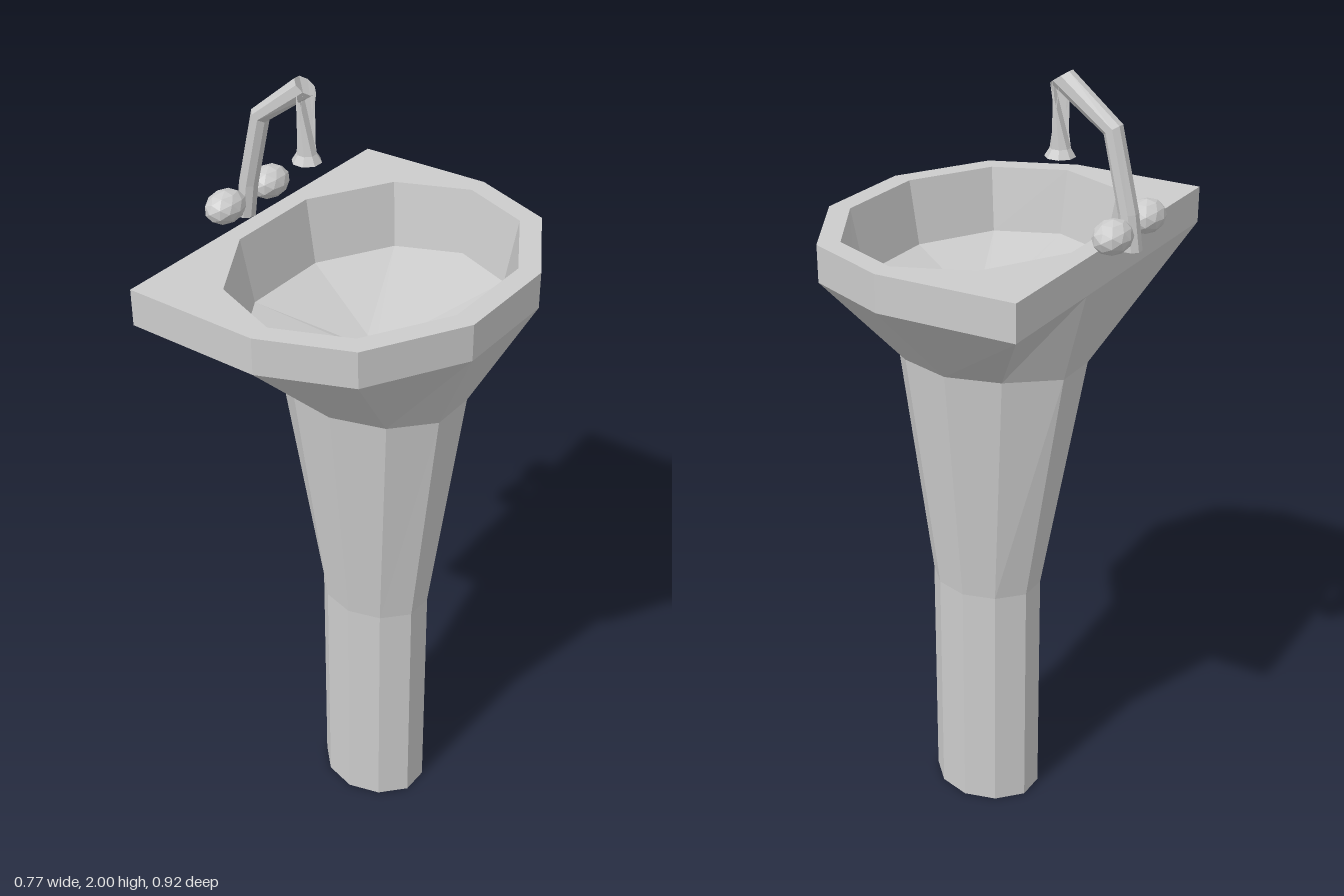
import * as THREE from 'three';

const material = new THREE.MeshStandardMaterial({ color: 0xcccccc, flatShading: true });

// Flat-shaded skin over a stack of equal-length rings, capped at both ends
function loft(name, rings) {
  const pos = [];
  const tri = (...pts) => pts.forEach((p) => pos.push(...p));
  const centre = (ring) => [0, 1, 2].map((k) => ring.reduce((s, p) => s + p[k], 0) / ring.length);
  const n = rings[0].length;
  const first = rings[0], last = rings[rings.length - 1];
  for (let j = 0; j < n; j++) {
    const k = (j + 1) % n;
    for (let i = 0; i < rings.length - 1; i++) {
      const a = rings[i], b = rings[i + 1];
      tri(a[j], b[j], a[k]);
      tri(a[k], b[j], b[k]);
    }
    tri(centre(first), first[j], first[k]);
    tri(last[j], centre(last), last[k]);
  }
  const geometry = new THREE.BufferGeometry();
  geometry.setAttribute('position', new THREE.Float32BufferAttribute(pos, 3));
  geometry.computeVertexNormals();
  const mesh = new THREE.Mesh(geometry, material);
  mesh.name = name;
  return mesh;
}

// Ten-sided horizontal ring from five [x, z] points, mirrored in z
function ring(y, half) {
  const front = half.map(([x, z]) => [x, y, z]);
  const back = half.map(([x, z]) => [x, y, -z]).reverse();
  return [...front, ...back];
}

// Eight-sided tube section; tilt turns it in the xy plane
function section(x, y, r, tilt = 0, stretch = 1) {
  const pts = [];
  for (let i = 0; i < 8; i++) {
    const t = ((i + 0.5) / 8) * Math.PI * 2;
    const v = Math.cos(t) * r * stretch;
    pts.push([x + v * Math.cos(tilt), y + v * Math.sin(tilt), -0.006 + Math.sin(t) * r]);
  }
  return pts;
}

export function createModel() {
  const group = new THREE.Group();
  group.name = 'pedestalSink';

  // Pedestal, basin, rim and bowl as one continuous skin
  const stem = [[0.175, 0.037], [0.118, 0.097], [0.035, 0.12], [-0.048, 0.097], [-0.105, 0.037]];
  const neck = [[0.255, 0.06], [0.17, 0.152], [0.035, 0.19], [-0.1, 0.152], [-0.215, 0.06]];
  const rim = [[0.385, 0.14], [0.25, 0.373], [0.035, 0.458], [-0.31, 0.45], [-0.31, 0.14]];
  const lip = [[0.333, 0.127], [0.215, 0.33], [0.035, 0.403], [-0.145, 0.33], [-0.263, 0.127]];
  const floor = [[0.303, 0.119], [0.195, 0.306], [0.035, 0.372], [-0.125, 0.306], [-0.233, 0.119]];
  const drain = [[0.075, 0.021], [0.055, 0.033], [0.035, 0.043], [0.015, 0.033], [-0.005, 0.021]];
  group.add(loft('basinAndPedestal', [
    ring(0, stem), ring(0.645, stem), ring(1.285, neck),
    ring(1.54, rim), ring(1.63, rim),
    ring(1.63, lip), ring(1.47, floor), ring(1.39, drain),
  ]));

  // Faucet: leaning riser, sloping arm and drop spout with a flared tip
  const faucet = new THREE.Group();
  faucet.name = 'faucet';
  faucet.add(loft('spout', [
    section(-0.352, 1.615, 0.024),
    section(-0.34, 1.7, 0.024),
    section(-0.296, 1.882, 0.024, -0.55),
    section(-0.165, 1.982, 0.024, -2.15 + Math.PI / 2, 1.25),
    section(-0.165, 1.822, 0.024, -Math.PI),
    section(-0.165, 1.802, 0.036, -Math.PI),
  ]));

  // Pair of faceted handles
  for (const side of [-1, 1]) {
    const knob = new THREE.Mesh(new THREE.IcosahedronGeometry(1, 1), material);
    knob.name = side > 0 ? 'frontHandle' : 'backHandle';
    knob.scale.set(0.044, 0.04, 0.058);
    knob.position.set(-0.345, 1.67, -0.007 + side * 0.083);
    faucet.add(knob);
  }
  group.add(faucet);
  return group;
}
